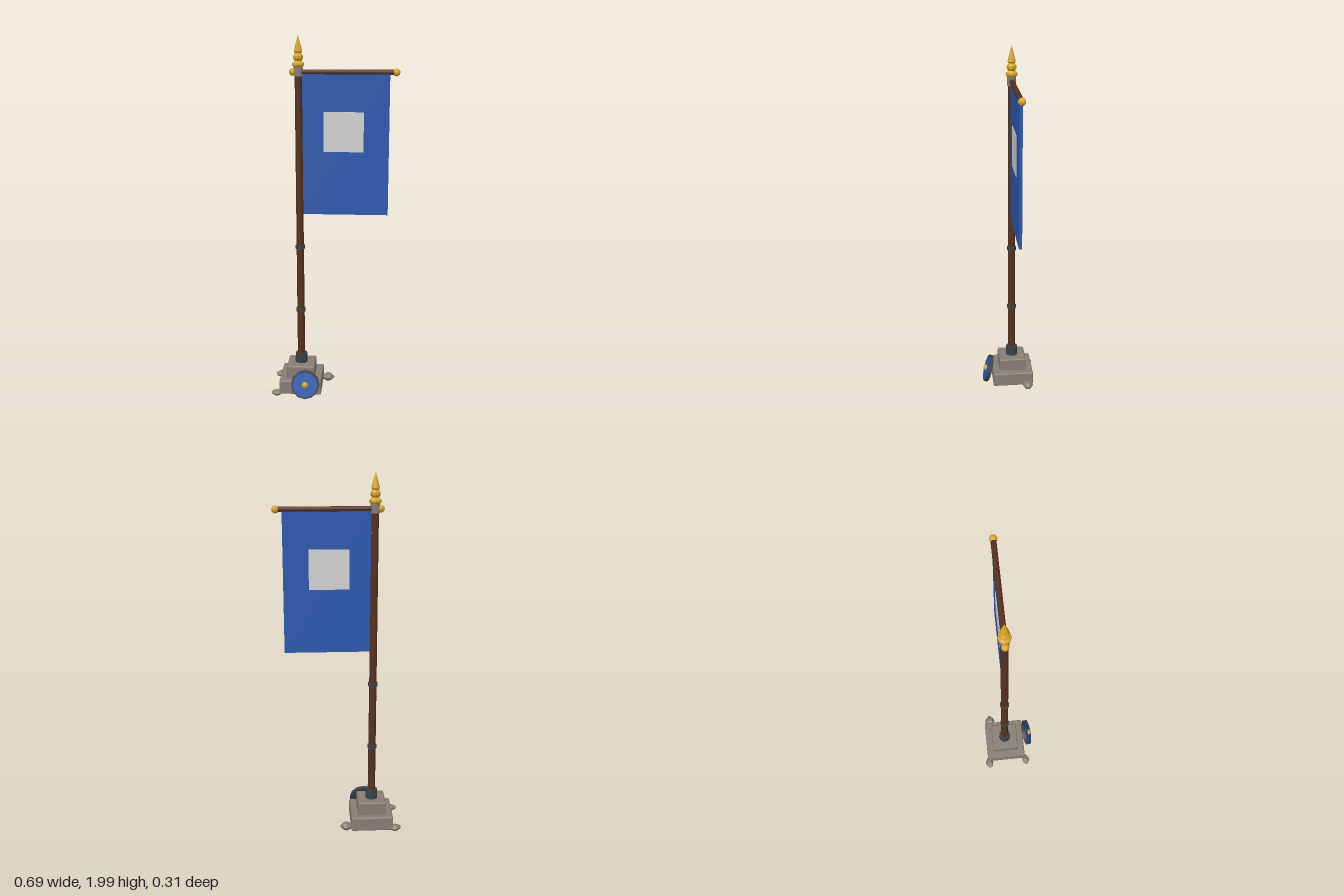
import * as THREE from 'three';
import { RoundedBoxGeometry } from 'three/addons/geometries/RoundedBoxGeometry.js';

const material = (name, color) => Object.assign(new THREE.MeshStandardMaterial({ color }), { name });

// Faceted normals, so every face reads flat
function faceted(geometry) {
  const g = geometry.index ? geometry.toNonIndexed() : geometry;
  g.computeVertexNormals();
  return g;
}

export function createModel() {
  const wood = material('dark wood', 0x56321f);
  const gold = material('gold', 0xd8a62c);
  const stone = material('stone', 0x887e75);
  const iron = material('dark iron', 0x384246);
  const blue = material('blue cloth', 0x2d58ae);
  const pale = material('pale grey', 0xd2d2d2);

  const model = new THREE.Group();
  const PX = -0.185, PZ = -0.021; // pole axis

  function add(name, geometry, mat, x, y, z, parent = model) {
    const mesh = new THREE.Mesh(geometry, mat);
    mesh.name = name;
    mesh.position.set(x, y, z);
    parent.add(mesh);
    return mesh;
  }
  // Upright cylinder on the pole axis, from y0 to y1
  const onPole = (name, mat, r0, r1, y0, y1, sides = 12) =>
    add(name, new THREE.CylinderGeometry(r1, r0, y1 - y0, sides), mat, PX, (y0 + y1) / 2, PZ);

  // Stepped plinth
  add('lowerPlinth', new RoundedBoxGeometry(0.236, 0.082, 0.236, 1, 0.008), stone, -0.183, 0.059, PZ);
  add('upperPlinth', new RoundedBoxGeometry(0.157, 0.08, 0.157, 1, 0.008), stone, -0.183, 0.132, PZ);

  // Pole with its socket, bands and top collar
  onPole('poleSocket', iron, 0.035, 0.033, 0.165, 0.225);
  onPole('pole', wood, 0.021, 0.019, 0.2, 1.82);
  for (const y of [0.49, 0.86]) onPole('poleBand', iron, 0.026, 0.026, y - 0.01, y + 0.01);
  onPole('topCollar', stone, 0.024, 0.024, 1.79, 1.84);

  // Spear finial: ring, bulb and point turned on one profile
  const finial = [
    [0, 1.835], [0.025, 1.838], [0.032, 1.847], [0.032, 1.857], [0.022, 1.866],
    [0.018, 1.869], [0.026, 1.882], [0.026, 1.895], [0.016, 1.908],
    [0.022, 1.916], [0.019, 1.93], [0.01, 1.964], [0, 2],
  ].map(([r, y]) => new THREE.Vector2(r, y));
  add('finial', faceted(new THREE.LatheGeometry(finial, 8)), gold, PX, 0, PZ);

  // Crossbar with a ball at each end
  const bar = add('crossbar', new THREE.CylinderGeometry(0.014, 0.014, 0.53, 10), wood, 0.055, 1.812, PZ);
  bar.rotation.z = Math.PI / 2;
  for (const x of [-0.214, 0.325])
    add('crossbarBall', new THREE.SphereGeometry(0.02, 10, 8), gold, x, 1.812, PZ);

  // Banner with a plain square on both faces
  add('banner', new THREE.BoxGeometry(0.458, 0.757, 0.016), blue, 0.064, 1.4285, PZ);
  for (const side of [-1, 1])
    add('bannerSquare', new THREE.BoxGeometry(0.212, 0.212, 0.004), pale, 0.053, 1.5, PZ + side * 0.009);

  // Round shield leaning against the plinth
  const shield = new THREE.Group();
  shield.name = 'shield';
  shield.position.set(-0.152, 0.095, 0.123);
  shield.rotation.x = -0.288;
  model.add(shield);
  const disc = (name, mat, r, depth, z) => {
    add(name, new THREE.CylinderGeometry(r, r, depth, 12), mat, 0, 0, z, shield).rotation.x = Math.PI / 2;
  };
  disc('shieldRim', iron, 0.08, 0.021, 0);
  disc('shieldFace', blue, 0.07, 0.004, 0.0105);
  add('shieldBoss', new THREE.SphereGeometry(0.018, 10, 8), gold, 0, 0, 0.013, shield);

  // Pointed stones lying around the plinth: x, y, z, length, radius, turn
  const rocks = [
    [-0.312, 0.033, -0.132, 0.07, 0.025, 0.2],
    [-0.036, 0.035, -0.104, 0.074, 0.031, 0],
    [-0.313, 0.032, 0.103, 0.066, 0.023, 0],
  ];
  const rockProfile = [[0, -0.5], [0.5, -0.42], [1, -0.05], [0.8, 0.2], [0, 0.5]];
  for (const [x, y, z, length, radius, turn] of rocks) {
    const points = rockProfile.map(([r, t]) => new THREE.Vector2(r * radius, t * length));
    const g = new THREE.LatheGeometry(points, 6);
    g.rotateZ(-Math.PI / 2);
    g.scale(1, 0.8, 1);
    g.rotateY(turn);
    add('rock', faceted(g), stone, x, y, z);
  }
  return model;
}
